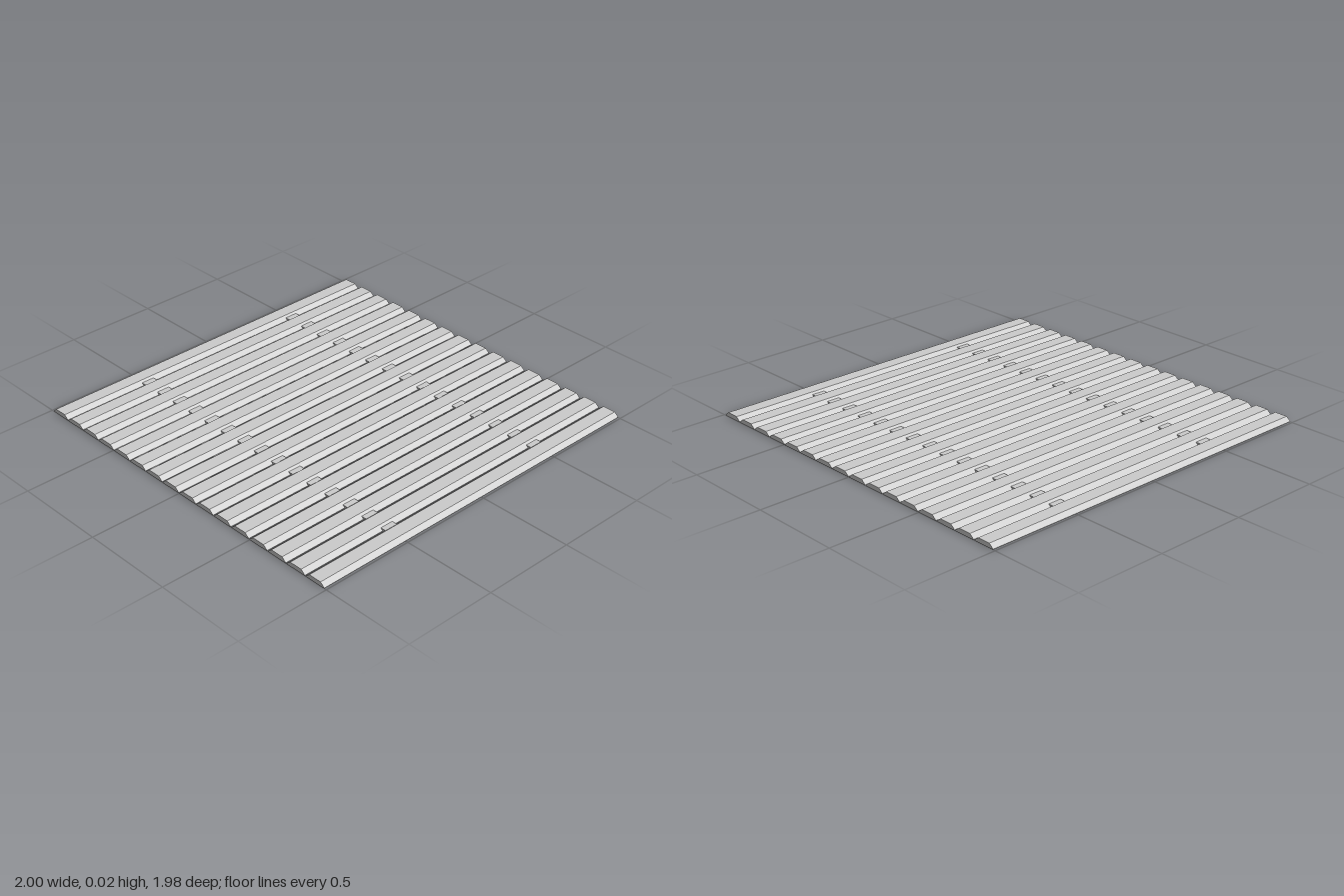
import * as THREE from 'three';

const SLATS = 16, PITCH = 0.1238, WIDTH = 0.119, HEIGHT = 0.023;
const RIM = 0.003, BEVEL = 0.024, LENGTH = 2;

// Bevelled plank profile in the z-y plane, extruded along x
function slatGeometry() {
  const h = WIDTH / 2;
  const shape = new THREE.Shape([
    [-h, 0], [h, 0], [h, RIM], [h - BEVEL, HEIGHT], [BEVEL - h, HEIGHT], [-h, RIM],
  ].map(([a, b]) => new THREE.Vector2(a, b)));
  const geometry = new THREE.ExtrudeGeometry(shape, { depth: LENGTH, bevelEnabled: false });
  geometry.translate(0, 0, -LENGTH / 2);
  geometry.rotateY(Math.PI / 2);
  return geometry;
}

export function createModel() {
  const group = new THREE.Group();
  group.name = 'slattedMat';
  const material = new THREE.MeshStandardMaterial({ color: 0xcccccc, flatShading: true });
  const add = (geometry, name, x, y, z) => {
    const mesh = new THREE.Mesh(geometry, material);
    mesh.name = name;
    mesh.position.set(x, y, z);
    group.add(mesh);
  };

  const slat = slatGeometry();
  const connector = new THREE.BoxGeometry(0.073, 0.012, 0.034);

  for (let i = 0; i < SLATS; i++) {
    const z = (i - (SLATS - 1) / 2) * PITCH;
    add(slat, 'slat', 0, 0, z);
    // Two small connectors bridge each gap
    if (i < SLATS - 1) {
      for (const x of [-0.487, 0.502]) add(connector, 'connector', x, 0.0075, z + PITCH / 2);
    }
  }
  return group;
}
